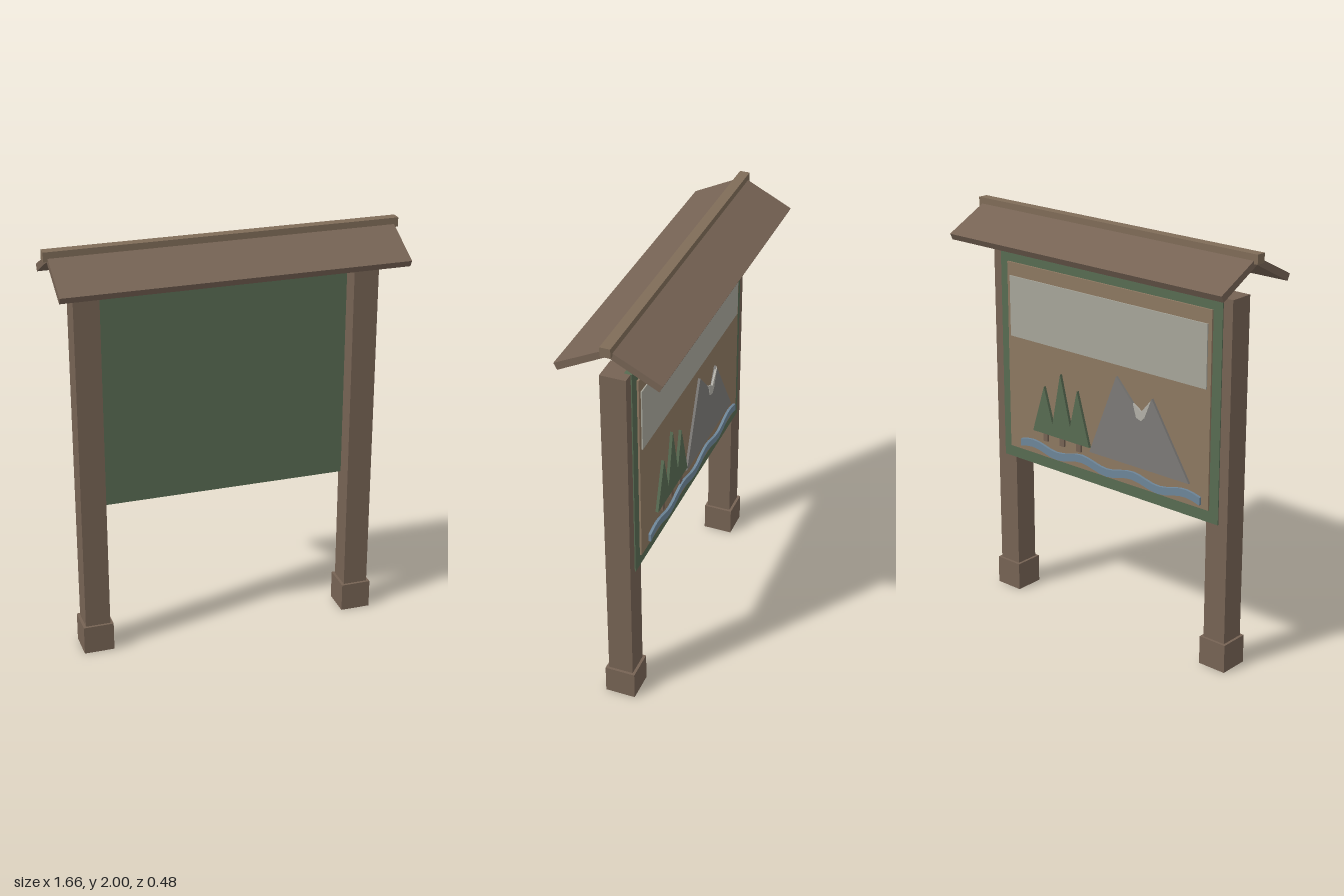
import * as THREE from 'three';

const mat = (name, color) => {
  const m = new THREE.MeshStandardMaterial({ color });
  m.name = name;
  return m;
};

export function createModel() {
  const group = new THREE.Group();
  group.name = 'noticeBoard';

  const wood = mat('brown wood', 0x766354);
  const ridgeWood = mat('ridge wood', 0x7f6c58);
  const green = mat('board green', 0x586b52);
  const tan = mat('panel tan', 0x8d7861);
  const skyGrey = mat('pale sky', 0xa6a59a);
  const rock = mat('mountain grey', 0x7c7a77);
  const snowWhite = mat('snow', 0xb2b0a8);
  const water = mat('river blue', 0x6d8598);

  const add = (name, geometry, material) => {
    const mesh = new THREE.Mesh(geometry, material);
    mesh.name = name;
    group.add(mesh);
    return mesh;
  };

  // Box given by its limits on each axis
  const box = (name, material, [x0, x1], [y0, y1], [z0, z1]) =>
    add(name, new THREE.BoxGeometry(x1 - x0, y1 - y0, z1 - z0), material)
      .position.set((x0 + x1) / 2, (y0 + y1) / 2, (z0 + z1) / 2);

  // Flat cut-out in the x-y plane between two z depths
  const cutout = (name, material, points, z0, z1) => {
    const shape = new THREE.Shape(points.map(([x, y]) => new THREE.Vector2(x, y)));
    const geometry = new THREE.ExtrudeGeometry(shape, { depth: z1 - z0, bevelEnabled: false });
    add(name, geometry.translate(0, 0, z0), material);
  };

  // Posts with footings
  for (const [side, s] of [['left', 1], ['right', -1]]) {
    const c = s * 0.66;
    box(side + 'Post', wood, [c - 0.06, c + 0.06], [0.14, 1.785], [-0.04, 0.08]);
    box(side + 'Footing', wood, [c - 0.073, c + 0.073], [0, 0.14], [-0.053, 0.093]);
  }

  // Board, inner panel and sky strip, facing the back
  box('board', green, [-0.67, 0.67], [0.725, 1.785], [-0.045, -0.01]);
  box('panel', tan, [-0.62, 0.62], [0.785, 1.725], [-0.054, -0.044]);
  box('sky', skyGrey, [-0.6, 0.6], [1.36, 1.66], [-0.06, -0.053]);

  // Relief scene: trees, trunks, mountain, snow, river
  cutout('trees', green, [
    [0.454, 0.91], [0.378, 1.15], [0.325, 0.97], [0.271, 1.235],
    [0.21, 0.985], [0.164, 1.175], [0.088, 0.91],
  ], -0.068, -0.053);
  for (const x of [0.375, 0.268, 0.16])
    box('trunk', wood, [x - 0.014, x + 0.014], [0.87, 0.92], [-0.064, -0.053]);
  cutout('mountain', rock, [
    [0.088, 0.89], [-0.08, 1.305], [-0.235, 1.14], [-0.294, 1.245], [-0.515, 0.89],
  ], -0.066, -0.053);
  cutout('snow', snowWhite, [
    [-0.185, 1.2], [-0.235, 1.17], [-0.294, 1.24], [-0.255, 1.145], [-0.235, 1.125], [-0.205, 1.135],
  ], -0.07, -0.06);

  const upper = [], lower = [];
  for (let i = 0; i <= 28; i++) {
    const x = 0.54 - 0.04 * i;
    const y = 0.825 + 0.014 * Math.cos((x - 0.46) * 2 * Math.PI / 0.317);
    upper.push([x, y + 0.019]);
    lower.unshift([x, y - 0.019]);
  }
  cutout('river', water, [...upper, ...lower], -0.067, -0.053);

  // Gable roof, its cross-section swept along x
  const gable = new THREE.Shape([
    [0.241, 1.862], [0, 1.982], [-0.241, 1.862], [-0.225, 1.832], [0, 1.948], [0.225, 1.832],
  ].map(([z, y]) => new THREE.Vector2(z, y)));
  const roof = new THREE.ExtrudeGeometry(gable, { depth: 1.62, bevelEnabled: false });
  add('roof', roof.translate(0, 0, -0.81).rotateY(Math.PI / 2), wood);
  box('ridgeCap', ridgeWood, [-0.83, 0.83], [1.956, 2], [-0.024, 0.024]);

  return group;
}
